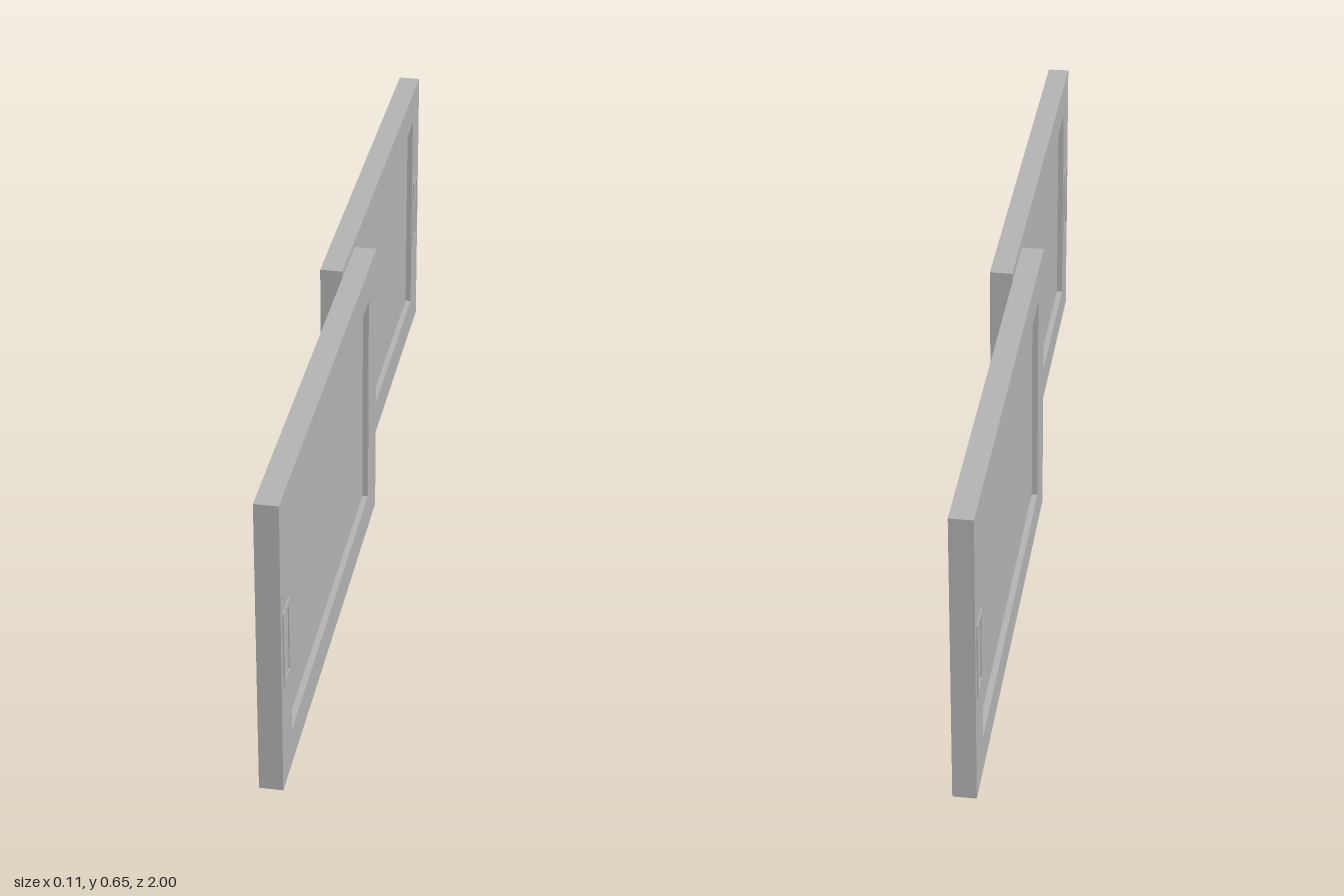
import * as THREE from 'three';

// Rectangle outline; z0..z1 runs along the model's z axis
function trace(path, z0, z1, y0, y1) {
  path.moveTo(-z1, y0);
  path.lineTo(-z0, y0);
  path.lineTo(-z0, y1);
  path.lineTo(-z1, y1);
  path.closePath();
  return path;
}

// Rectangular frame in the zy plane, extruded from x0 to x1
function frameGeometry(outer, inner, x0, x1) {
  const shape = trace(new THREE.Shape(), ...outer);
  shape.holes.push(trace(new THREE.Path(), ...inner));
  const g = new THREE.ExtrudeGeometry(shape, { depth: x1 - x0, bevelEnabled: false });
  g.rotateY(Math.PI / 2);
  g.translate(x0, 0, 0);
  return g;
}

export function createModel() {
  const model = new THREE.Group();
  model.name = 'slidingWindow';
  const grey = new THREE.MeshStandardMaterial({ color: 0xb3b3b3 });
  grey.name = 'grey';

  const inner = 0.0025, outer = 0.051, height = 0.655;
  const opening = [0.037, 0.907, 0.08, 0.577];

  function makePanel(name) {
    const panel = new THREE.Group();
    panel.name = name;
    const add = (geometry, partName) => {
      const mesh = new THREE.Mesh(geometry, grey);
      mesh.name = partName;
      panel.add(mesh);
    };

    // Surrounding sash
    add(frameGeometry([-0.06, 1, 0, height], opening, inner, outer), 'sash');

    // Pane recessed on both sides
    const [z0, z1, y0, y1] = opening;
    const pane = new THREE.BoxGeometry(outer - inner - 0.026, y1 - y0, z1 - z0);
    pane.translate((inner + outer) / 2, (y0 + y1) / 2, (z0 + z1) / 2);
    add(pane, 'pane');

    // Thin raised pull rims on both faces
    const rim = [0.924, 0.984, 0.235, 0.405];
    const hollow = [0.934, 0.972, 0.247, 0.393];
    add(frameGeometry(rim, hollow, outer, outer + 0.0025), 'outerPull');
    add(frameGeometry(rim, hollow, inner - 0.002, inner), 'innerPull');
    return panel;
  }

  // Two identical panels, the second turned half round
  const front = makePanel('frontPanel');
  const back = makePanel('backPanel');
  back.rotation.y = Math.PI;
  model.add(front, back);
  return model;
}
